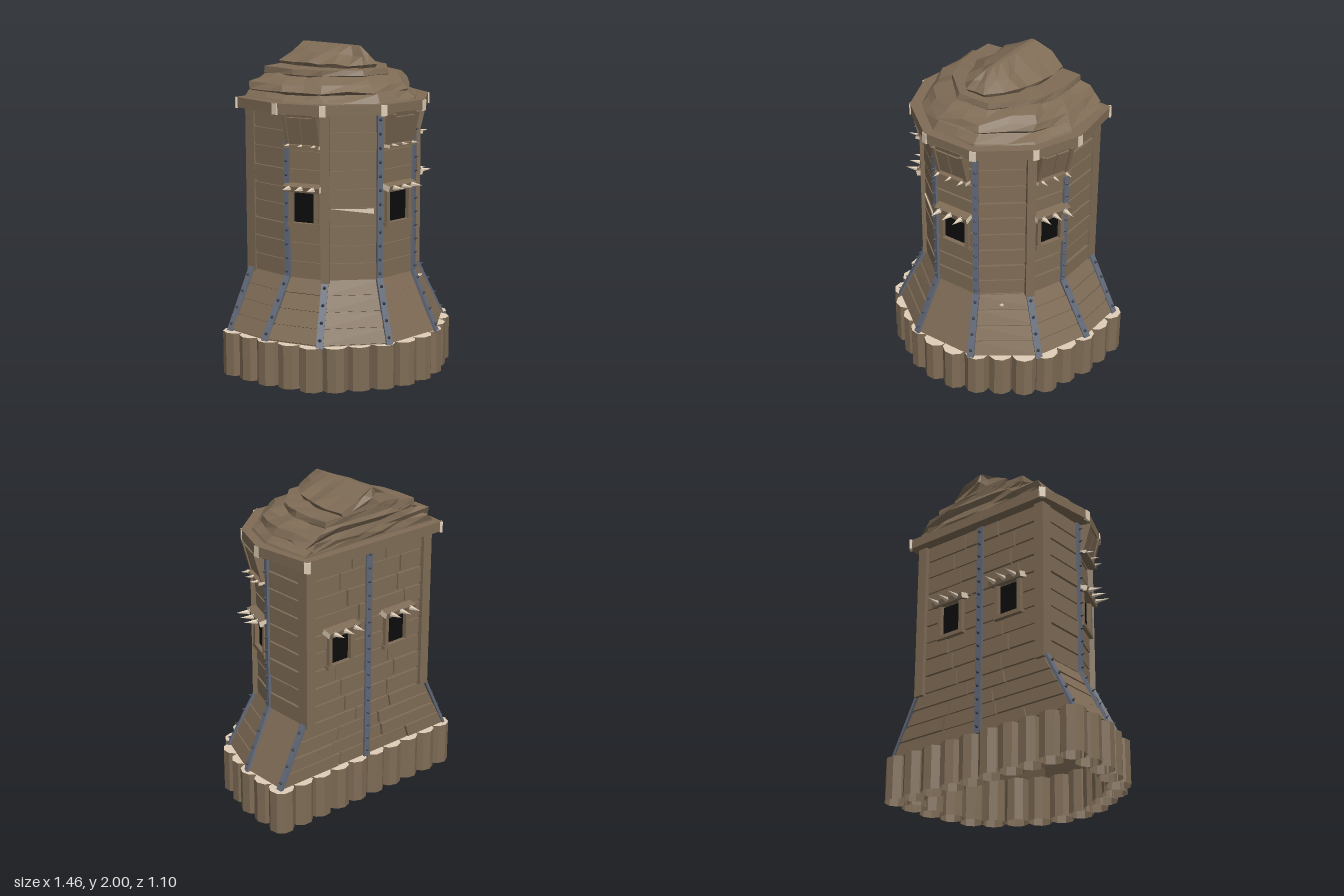
import * as THREE from 'three';
import { ConvexGeometry } from 'three/addons/geometries/ConvexGeometry.js';

const mat = (name, color, extra = {}) => {
  const m = new THREE.MeshStandardMaterial({ color, flatShading: true, ...extra });
  m.name = name;
  return m;
};
const V = (x, y, z) => new THREE.Vector3(x, y, z);

export function createModel() {
  const wood = mat('wood', 0x7f6c56, { side: THREE.DoubleSide });
  const cutWood = mat('cutWood', 0xe0cfb8);
  const iron = mat('iron', 0x636978);
  const darkIron = mat('darkIron', 0x434853);
  const black = mat('black', 0x0c0c0c);
  const endGrain = [cutWood, cutWood, wood, wood, wood, wood];

  let seed = 7;
  const rnd = () => ((seed = (seed * 16807) % 2147483647) / 2147483647);
  const jit = (a) => (rnd() - 0.5) * 2 * a;

  const root = new THREE.Group();
  root.name = 'watchtower';
  const group = (name, parent = root) => {
    const g = new THREE.Group();
    g.name = name;
    parent.add(g);
    return g;
  };
  const add = (parent, name, geo, m, x = 0, y = 0, z = 0) => {
    const mesh = new THREE.Mesh(geo, m);
    mesh.name = name;
    mesh.position.set(x, y, z);
    parent.add(mesh);
    return mesh;
  };

  // Half plan, back corner to front corner, mirrored into a full outline
  const mirror = (pts) => [...pts, ...pts.slice().reverse().map(([x, z]) => [-x, z])];
  const wallPlan = mirror([[0.475, -0.41], [0.475, -0.09], [0.39, 0.135], [0.143, 0.335]]);
  const footPlan = mirror([[0.665, -0.41], [0.665, -0.1], [0.54, 0.235], [0.205, 0.48]]);
  const eavePlan = mirror([[0.53, -0.495], [0.575, -0.1], [0.46, 0.185], [0.175, 0.41]]);
  const Y0 = 0.27, Y1 = 0.63, Y2 = 1.64;
  const ring = (plan, y) => plan.map(([x, z]) => V(x, y, z));

  // Loft through closed loops of points, optionally capped on top
  const loft = (loops, cap) => {
    const p = [], n = loops[0].length;
    const tri = (...t) => t.forEach((v) => p.push(v.x, v.y, v.z));
    for (let k = 0; k < loops.length - 1; k++)
      for (let i = 0; i < n; i++) {
        const j = (i + 1) % n, [a, b] = [loops[k], loops[k + 1]];
        tri(a[i], a[j], b[i]);
        tri(a[j], b[j], b[i]);
      }
    if (cap) {
      const top = loops[loops.length - 1];
      const c = top.reduce((s, v) => s.add(v), V(0, 0, 0)).divideScalar(n);
      top.forEach((v, i) => tri(v, top[(i + 1) % n], c));
    }
    // Loops run clockwise seen from above when x is mirrored, so orient faces outwards
    for (let i = 0; i < p.length; i += 9)
      for (let k = 0; k < 3; k++) [p[i + 3 + k], p[i + 6 + k]] = [p[i + 6 + k], p[i + 3 + k]];
    const g = new THREE.BufferGeometry();
    g.setAttribute('position', new THREE.Float32BufferAttribute(p, 3));
    g.computeVertexNormals();
    return g;
  };

  // Board: a slab raised outwards from the wall
  const board = (parent, name, corners, t, m) => {
    const [a, b] = corners, d = corners[corners.length - 1];
    const n = b.clone().sub(a).cross(d.clone().sub(a)).normalize();
    if (n.dot(V(a.x + b.x, 0, a.z + b.z + 0.3)) < 0) n.negate();
    const pts = corners.flatMap((p) => [p.clone().addScaledVector(n, -0.004), p.clone().addScaledVector(n, t)]);
    add(parent, name, new ConvexGeometry(pts), m);
  };

  // Bar from p0 to p1, with its broad face turned towards n
  const bar = (parent, name, p0, p1, n, w, t, m, studs = 0) => {
    const T = p1.clone().sub(p0), L = T.length();
    T.normalize();
    const N = n.clone().addScaledVector(T, -n.dot(T)).normalize();
    const g = group(name, parent);
    g.matrix.makeBasis(T.clone().cross(N), T, N).setPosition(p0.clone().add(p1).multiplyScalar(0.5));
    g.matrix.decompose(g.position, g.quaternion, g.scale);
    add(g, name + 'Body', new THREE.BoxGeometry(w, L, t), m);
    for (let i = 0; i < studs; i++) {
      const s = add(g, 'stud', new THREE.ConeGeometry(0.012, 0.022, 6), darkIron, 0, L * ((i + 0.5) / studs - 0.5), t / 2 + 0.01);
      s.rotation.x = Math.PI / 2;
    }
  };

  // Hollow inner shell
  add(root, 'wallShell', loft([ring(footPlan, Y0), ring(wallPlan, Y1), ring(wallPlan, Y2)]), wood);

  // Horizontal planks on the outer faces, staggered boards on the back, gaps left for windows
  const planks = group('planks'), backBoards = group('backBoards');
  const sideGap = [[0, 0.17], [0.83, 1]];
  const gaps = { 1: sideGap, 3: sideGap, 5: sideGap, 7: [[0, 0.177], [0.349, 0.651], [0.823, 1]] };
  const courses = (low, high, ya, yb, rows, windowRows) => {
    for (let i = 0; i < 8; i++) {
      const j = (i + 1) % 8, isBack = i === 7;
      const at = (u, v) => {
        const a = V(low[i][0], ya, low[i][1]).lerp(V(high[i][0], yb, high[i][1]), v);
        const b = V(low[j][0], ya, low[j][1]).lerp(V(high[j][0], yb, high[j][1]), v);
        return a.lerp(b, u);
      };
      for (let r = 0; r < rows; r++) {
        const v0 = (r + 0.05) / rows, v1 = (r + 0.92 + jit(0.03)) / rows;
        const c1 = 0.3 + jit(0.12), c2 = 0.7 + jit(0.12);
        let spans = isBack ? [[0, c1 - 0.01], [c1, c2 - 0.01], [c2, 1]] : [[0, 1]];
        if (windowRows.includes(r) && gaps[i]) spans = gaps[i];
        for (const [u0, u1] of spans)
          board(isBack ? backBoards : planks, 'plank', [at(u0, v0), at(u1, v0), at(u1, v1), at(u0, v1)], 0.014 + jit(0.004), wood);
      }
    }
  };
  courses(footPlan, wallPlan, Y0, Y1, 4, []);
  courses(wallPlan, wallPlan, Y1, Y2, 9, [3, 4]);

  // Corner posts and studded iron straps
  const straps = group('strapsAndPosts');
  const normals = [[1, 0], [0.98, 0.2], [0.75, 0.65], [0.35, 0.94]];
  for (const s of [1, -1])
    normals.forEach(([nx, nz], i) => {
      const n = V(nx * s, 0, nz);
      const pt = (plan, y, o) => V(plan[i][0] * s, y, plan[i][1]).addScaledVector(n, o);
      bar(straps, 'lowerStrap', pt(footPlan, Y0 - 0.01, 0.016), pt(wallPlan, Y1 + 0.01, 0.016), n, 0.042, 0.018, iron, 4);
      if (i % 2) bar(straps, 'upperStrap', pt(wallPlan, Y1, 0.016), pt(wallPlan, Y2, 0.016), n, 0.036, 0.018, iron, 12);
      else {
        const o = i ? 0.003 : -0.012;
        bar(straps, 'cornerPost', pt(wallPlan, Y1 - 0.01, o), pt(wallPlan, Y2, o), n, i ? 0.055 : 0.075, 0.065, wood);
      }
    });
  bar(straps, 'backStrap', V(0, Y0, -0.43), V(0, Y2, -0.43), V(0, 0, -1), 0.045, 0.014, iron, 16);

  // Recessed window of width w with spiked awning, and leaning shutter box, both facing local +z
  const spike = (g, r, len, x, y, z) => {
    add(g, 'spike', new THREE.ConeGeometry(r, len, 6), cutWood, x, y, z + len / 2).rotation.x = Math.PI / 2 - 0.05;
  };
  const windowUnit = (x, z, angle, w) => {
    const g = group('window');
    g.position.set(x, 0, z);
    g.rotation.y = angle;
    add(g, 'opening', new THREE.BoxGeometry(w + 0.01, 0.205, 0.006), black, 0, 1.07, -0.009);
    for (const s of [1, -1]) add(g, 'frameSide', new THREE.BoxGeometry(0.026, 0.23, 0.036), wood, s * (w / 2 + 0.013), 1.07, 0.004);
    add(g, 'sill', new THREE.BoxGeometry(w + 0.065, 0.025, 0.038), wood, 0, 0.963, 0.005);
    add(g, 'awning', new THREE.BoxGeometry(0.24, 0.035, 0.065), endGrain, 0, 1.19, 0.02).rotation.x = 0.25;
    for (const s of [-1, 0, 1]) {
      add(g, 'spikeCollar', new THREE.CylinderGeometry(0.014, 0.014, 0.016, 6), darkIron, s * 0.078, 1.19, 0.05).rotation.x = Math.PI / 2;
      spike(g, 0.017, 0.085, s * 0.078, 1.19, 0.05);
    }
  };
  const shutterBox = (x, z, angle) => {
    const g = group('shutterBox');
    g.position.set(x, 0, z);
    g.rotation.y = angle;
    const pts = [-0.105, 0.105].flatMap((w) => [V(w, 1.44, 0), V(w, 1.44, 0.012), V(w, 1.64, 0), V(w, 1.64, 0.065)]);
    add(g, 'boxBody', new ConvexGeometry(pts), wood);
    const face = group('shutterFace', g);
    face.position.set(0, 1.535, 0.042);
    face.rotation.x = 0.26;
    for (const s of [1, -1]) {
      add(face, 'shutter', new THREE.BoxGeometry(0.082, 0.16, 0.012), wood, s * 0.044, 0, 0);
      add(face, 'shutterFrame', new THREE.BoxGeometry(0.022, 0.2, 0.026), wood, s * 0.1, 0, 0);
    }
    add(g, 'shutterSill', new THREE.BoxGeometry(0.23, 0.02, 0.05), endGrain, 0, 1.437, 0.025);
    for (const s of [-1, 0, 1]) spike(g, 0.01, 0.055, s * 0.085, 1.445, 0.045);
  };
  windowUnit(0, 0.35, 0, 0.164);
  shutterBox(0, 0.35, 0);
  for (const s of [1, -1]) {
    windowUnit(s * 0.449, 0.02, s * 1.21, 0.14);
    shutterBox(s * 0.449, 0.022, s * 1.21);
    windowUnit(s * 0.225, -0.425, Math.PI, 0.144);
  }

  // Ring of upright logs, open below, with pale cut tops
  const logs = group('palisade');
  const path = new THREE.CurvePath();
  const logPlan = mirror([[0.652, -0.395], [0.64, -0.12], [0.535, 0.23], [0.19, 0.445], [0.09, 0.472]]);
  logPlan.forEach(([x, z], i) => {
    const [x2, z2] = logPlan[(i + 1) % logPlan.length];
    path.add(new THREE.LineCurve3(V(x, 0, z), V(x2, 0, z2)));
  });
  const logSide = new THREE.CylinderGeometry(0.077, 0.077, Y0, 9, 1, true);
  const logTop = new THREE.CircleGeometry(0.077, 9).rotateX(-Math.PI / 2).rotateY(-Math.PI / 2);
  path.getSpacedPoints(26).slice(0, 26).forEach((p) => {
    const log = group('log', logs);
    log.position.set(p.x, 0, p.z);
    log.rotation.y = rnd() * 3;
    add(log, 'logSide', logSide, wood, 0, Y0 / 2, 0);
    add(log, 'logCore', logTop, wood, 0, Y0 - 0.004, 0);
    add(log, 'logTop', logTop, cutWood, 0, Y0, 0);
  });

  // Eave beams with pale corner ends over a closed deck
  const eave = group('eave');
  const center = V(0, 0, -0.1);
  eavePlan.forEach(([x, z], i) => {
    const [x2, z2] = eavePlan[(i + 1) % 8];
    const a = V(x, 1.66, z), b = V(x2, 1.66, z2);
    const n = V(-(z2 - z), 0, x2 - x).normalize();
    if (n.dot(a.clone().sub(center)) < 0) n.negate();
    a.addScaledVector(n, -0.035);
    b.addScaledVector(n, -0.035);
    bar(eave, 'eaveBeam', a, b, n, 0.062, 0.07, wood);
    const out = V(x, 0, z).sub(center).normalize();
    const end = V(x, 0, z).addScaledVector(out, -0.006);
    bar(eave, 'beamEnd', end.clone().setY(1.625), end.clone().setY(1.69), out, 0.038, 0.016, cutWood);
  });
  const deckShape = new THREE.Shape(eavePlan.map(([x, z]) => new THREE.Vector2(x * 0.96, -z * 0.96)));
  const deck = add(eave, 'deck', new THREE.ExtrudeGeometry(deckShape, { depth: 0.04, bevelEnabled: false }), wood, 0, 1.638, 0);
  deck.rotation.x = -Math.PI / 2;

  // Ragged roof in faceted tiers: [width scale, depth scale, height, roughness]
  const roof = group('roof');
  const roofLoop = ([sx, sz, y, r]) => wallPlan.flatMap(([x, z], i) => {
    const [x2, z2] = wallPlan[(i + 1) % 8], m = i === 7 ? 5 : 2;
    return Array.from({ length: m }, (_, k) => {
      const u = k / m, px = x + (x2 - x) * u, pz = z + (z2 - z) * u;
      return V(px * sx + jit(r), Math.min(2, y + jit(r * 0.6)), -0.44 + (pz + 0.41) * sz + jit(r * 0.8));
    });
  });
  const tiers = {
    thatchSkirt: [[1.1, 1.08, 1.67, 0], [1.05, 1.06, 1.7, 0.01], [0.95, 1.0, 1.735, 0.02], [0.88, 0.95, 1.76, 0.01]],
    lowerTier: [[0.9, 0.95, 1.715, 0.01], [1.01, 1.0, 1.75, 0.016], [0.95, 0.96, 1.785, 0.016], [0.86, 0.88, 1.815, 0.022], [0.68, 0.8, 1.84, 0.014]],
    middleTier: [[0.68, 0.78, 1.8, 0.01], [0.73, 0.82, 1.832, 0.01], [0.72, 0.81, 1.868, 0.006], [0.42, 0.72, 1.872, 0.008]],
    ridgeTier: [[0.42, 0.72, 1.85, 0.01], [0.46, 0.77, 1.895, 0.016], [0.24, 0.71, 1.948, 0.022], [0.03, 0.64, 2, 0]],
  };
  for (const [name, rows] of Object.entries(tiers)) add(roof, name, loft(rows.map(roofLoop), true), wood);

  // Pale splinter on one front plank and a chip on the flare
  board(root, 'splinter', [V(-0.37, 1.07, 0.151), V(-0.165, 1.065, 0.317), V(-0.165, 1.035, 0.317)], 0.021, cutWood);
  const chip = add(root, 'chip', new THREE.ConeGeometry(0.016, 0.03, 5), cutWood, 0.293, 0.57, 0.282);
  chip.quaternion.setFromUnitVectors(V(0, 1, 0), V(0.55, 0.45, 0.7).normalize());
  return root;
}
